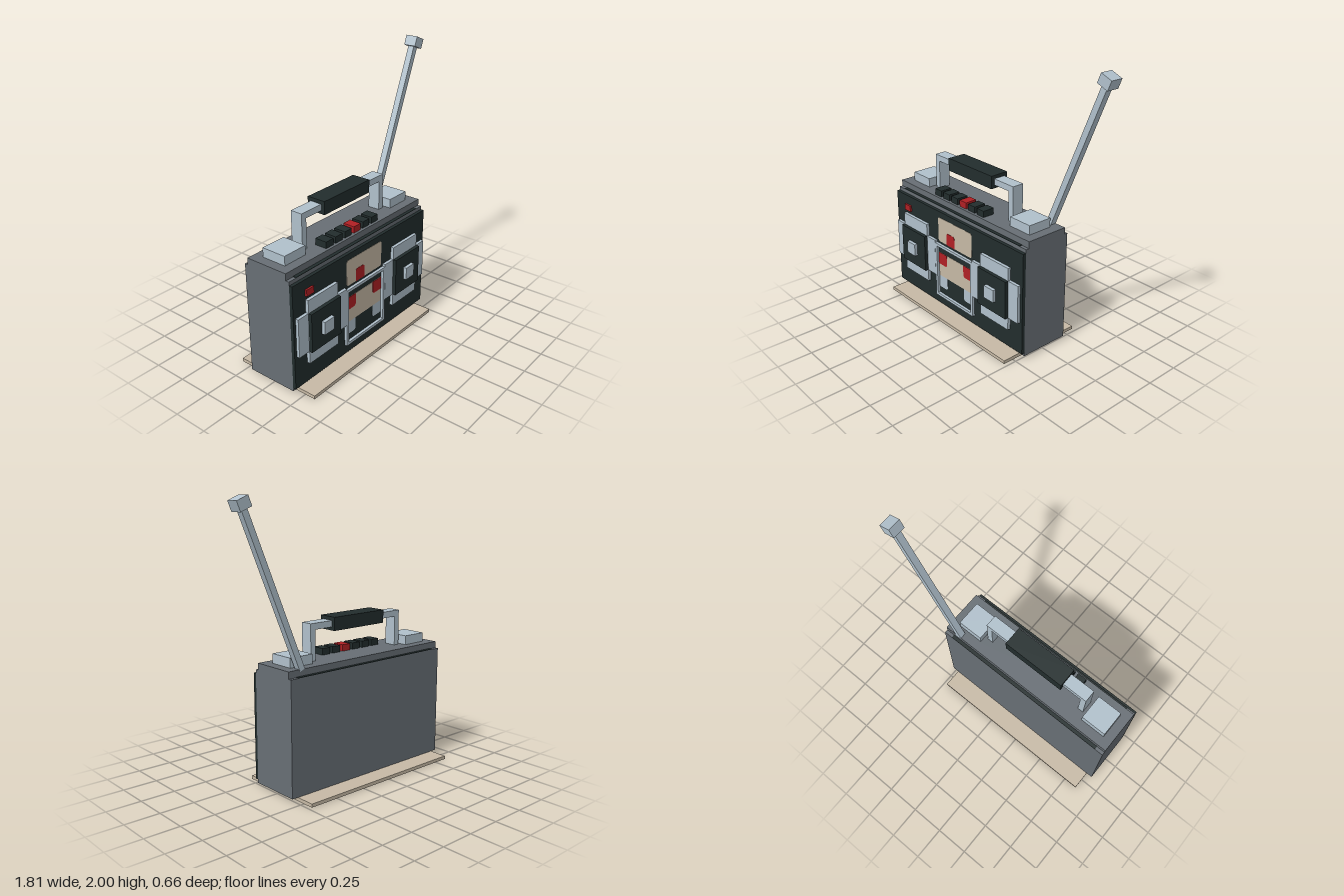
import * as THREE from 'three';

const mat = (name, color) => {
  const m = new THREE.MeshStandardMaterial({ color });
  m.name = name;
  return m;
};

export function createModel() {
  const grey = mat('casing grey', 0x676e74);
  const dark = mat('charcoal', 0x222d2d);
  const silver = mat('pale silver', 0xb0c0cb);
  const beige = mat('beige', 0xc6b9a5);
  const red = mat('red', 0xb02024);

  const model = new THREE.Group();
  model.name = 'portableRadio';

  const group = (name) => {
    const g = new THREE.Group();
    g.name = name;
    model.add(g);
    return g;
  };

  // Box given by its limits on each axis
  const box = (name, m, [x0, x1], [y0, y1], [z0, z1], parent = model) => {
    const mesh = new THREE.Mesh(new THREE.BoxGeometry(x1 - x0, y1 - y0, z1 - z0), m);
    mesh.position.set((x0 + x1) / 2, (y0 + y1) / 2, (z0 + z1) / 2);
    mesh.name = name;
    parent.add(mesh);
    return mesh;
  };

  // Thin painted plate; cut = chamfers at [bottom left, bottom right, top right, top left]
  const plate = (name, m, [x0, x1], [y0, y1], z, cut, parent) => {
    const [a, b, c, d] = cut;
    const shape = new THREE.Shape([
      [x0, y0 + a], [x0 + a, y0], [x1 - b, y0], [x1, y0 + b],
      [x1, y1 - c], [x1 - c, y1], [x0 + d, y1], [x0, y1 - d],
    ].map(([x, y]) => new THREE.Vector2(x, y)));
    const mesh = new THREE.Mesh(new THREE.ExtrudeGeometry(shape, { depth: 0.002, bevelEnabled: false }), m);
    mesh.position.z = z;
    mesh.name = name;
    parent.add(mesh);
  };

  // Casing
  box('base', beige, [-0.857, 0.472], [0, 0.025], [-0.33, 0.33]);
  box('body', grey, [-0.905, 0.52], [0.025, 0.836], [-0.189, 0.189]);
  box('bodyTop', grey, [-0.905, 0.52], [0.836, 0.885], [-0.164, 0.164]);
  box('frontPanel', dark, [-0.905, 0.52], [0.05, 0.81], [0.189, 0.213]);
  for (const s of [-1, 1]) {
    const z = s < 0 ? [-0.189, -0.164] : [0.164, 0.189];
    box('ledgeStrip', dark, [-0.84, 0.455], [0.836, 0.84], z);
  }

  // Carrying handle
  const handle = group('handle');
  for (const x of [-0.62, 0.19]) box('handlePost', silver, [x, x + 0.043], [0.885, 1.1], [-0.045, 0.045], handle);
  box('handleBar', silver, [-0.62, 0.233], [1.1, 1.145], [-0.045, 0.045], handle);
  box('handleGrip', dark, [-0.43, 0.043], [1.075, 1.17], [-0.071, 0.071], handle);

  // Top controls
  for (const x of [-0.836, 0.26]) box('topPad', silver, [x, x + 0.19], [0.885, 0.952], [-0.094, 0.094]);
  const buttons = group('buttons');
  for (let i = 0; i < 6; i++) {
    const x = -0.503 + i * 0.0953;
    box('button', i === 3 ? red : dark, [x, x + 0.071], [0.885, 0.932], [0.052, 0.144], buttons);
  }

  // Aerial, pivoted at the tip and leaning outwards
  const aerial = group('aerial');
  aerial.position.set(0.849, 1.95, -0.142);
  aerial.rotation.z = -Math.PI / 8;
  box('aerialRod', silver, [-0.022, 0.022], [-1.16, 0], [-0.024, 0.024], aerial);
  box('aerialTip', silver, [-0.045, 0.045], [-0.036, 0.036], [-0.047, 0.047], aerial);

  // Speakers
  for (const cx of [-0.645, 0.258]) {
    const speaker = group('speaker');
    const around = (c, r) => [c - r, c + r];
    box('speakerTall', silver, around(cx, 0.144), around(0.432, 0.236), [0.213, 0.236], speaker);
    box('speakerWide', silver, around(cx, 0.239), around(0.432, 0.142), [0.213, 0.235], speaker);
    box('speakerCone', dark, around(cx, 0.144), around(0.432, 0.142), [0.235, 0.261], speaker);
    box('speakerKnob', silver, around(cx, 0.048), around(0.432, 0.047), [0.261, 0.286], speaker);
  }

  box('powerLight', red, [-0.79, -0.72], [0.693, 0.74], [0.213, 0.227]);

  // Tuning display
  const display = group('tuningDisplay');
  const k = 0.012;
  plate('displayFace', beige, [-0.384, -0.003], [0.574, 0.765], 0.2135, [k, k, k, k], display);
  plate('displayMark', red, [-0.288, -0.195], [0.574, 0.667], 0.2155, [0, 0, k, k], display);

  // Cassette door: frame with a recessed window
  const door = group('cassetteDoor');
  for (const x of [-0.407, 0]) box('doorSide', silver, [x, x + 0.021], [0.122, 0.556], [0.213, 0.234], door);
  for (const y of [0.122, 0.535]) box('doorRail', silver, [-0.386, 0], [y, y + 0.021], [0.213, 0.234], door);
  plate('cassetteLabel', beige, [-0.384, -0.003], [0.29, 0.482], 0.2135, [0, 0, 0, 0], door);
  plate('leftSpool', red, [-0.098, -0.003], [0.388, 0.482], 0.2155, [k, 0, 0, 0], door);
  plate('rightSpool', red, [-0.384, -0.29], [0.388, 0.482], 0.2155, [0, k, 0, 0], door);
  plate('leftFoot', silver, [-0.098, -0.003], [0.195, 0.29], 0.2135, [k, 0, 0, 0], door);
  plate('rightFoot', silver, [-0.384, -0.29], [0.195, 0.29], 0.2135, [0, k, 0, 0], door);

  return model;
}
